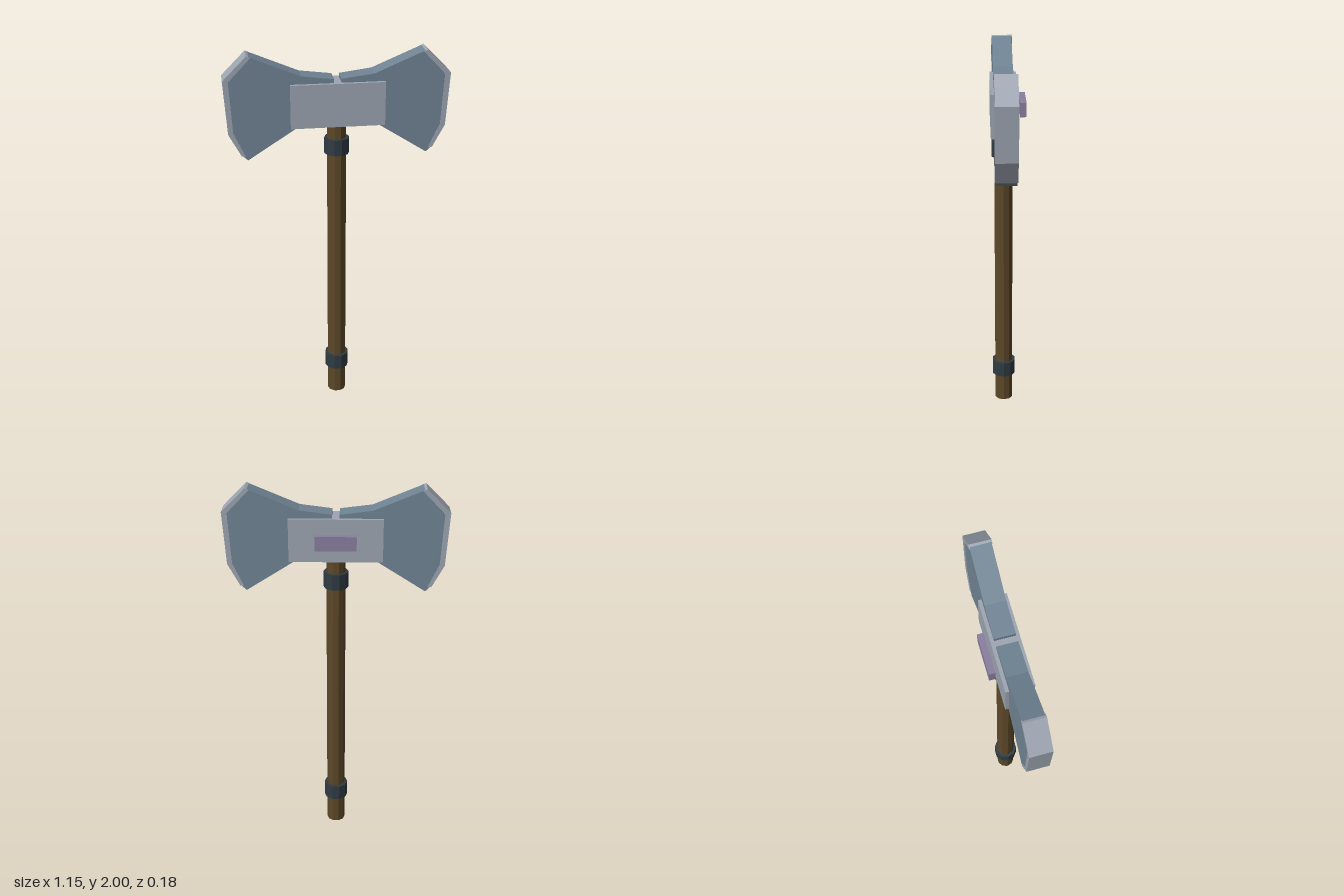
import * as THREE from 'three';

export function createModel() {
  const model = new THREE.Group();
  const mat = (name, color) => {
    const m = new THREE.MeshStandardMaterial({ color, flatShading: true });
    m.name = name;
    return m;
  };
  const wood = mat('brown wood', 0x5c4828);
  const iron = mat('dark iron', 0x2f3b43);
  const steel = mat('blue steel', 0x708494);
  const bright = mat('bright steel', 0x9ea6b2);
  const violet = mat('violet inlay', 0x8a7fa0);
  const midZ = 0.018;

  const add = (name, geometry, material, x, y, z) => {
    const mesh = new THREE.Mesh(geometry, material);
    mesh.name = name;
    mesh.position.set(x, y, z);
    model.add(mesh);
    return mesh;
  };
  // Ten-sided prism with a corner on the x axis
  const prism = (r, h) => new THREE.CylinderGeometry(r, r, h, 10, 1, false, Math.PI / 10);
  // Flat slab from an outline, centred in depth; side = -1 mirrors it
  const slab = (points, depth, side) => {
    const shape = new THREE.Shape(points.map(([x, y]) => new THREE.Vector2(x * side, y)));
    return new THREE.ExtrudeGeometry(shape, { depth, bevelEnabled: false }).translate(0, 0, -depth / 2);
  };

  // Handle and its two collars
  add('handle', prism(0.05, 1.7), wood, 0, 0.85, 0.021);
  add('lowerCollar', prism(0.065, 0.085), iron, 0, 0.202, 0.021);
  add('upperCollar', prism(0.065, 0.085), iron, 0, 1.503, 0.021);

  // Mirrored blades with slightly thicker cutting edges
  const bladeOutline = [
    [0.019, 1.625], [0.2, 1.625], [0.461, 1.458], [0.482, 1.478], [0.535, 1.605],
    [0.55, 1.875], [0.44, 1.995], [0.185, 1.888], [0.019, 1.867],
  ];
  const edgeOutline = [
    [0.472, 1.48], [0.493, 1.484], [0.556, 1.602], [0.574, 1.878], [0.452, 2.0],
    [0.431, 1.991], [0.545, 1.873], [0.53, 1.607],
  ];
  for (const [label, side] of [['left', 1], ['right', -1]]) {
    add(label + 'Blade', slab(bladeOutline, 0.105, side), steel, 0, 0, midZ);
    add(label + 'CuttingEdge', slab(edgeOutline, 0.112, side), bright, 0, 0, midZ);
  }

  // Central block and the inlay bar behind it
  add('headBlock', new THREE.BoxGeometry(0.48, 0.226, 0.141), bright, 0, 1.734, midZ);
  add('inlayBar', new THREE.BoxGeometry(0.212, 0.075, 0.032), violet, 0, 1.733, -0.078);

  return model;
}
